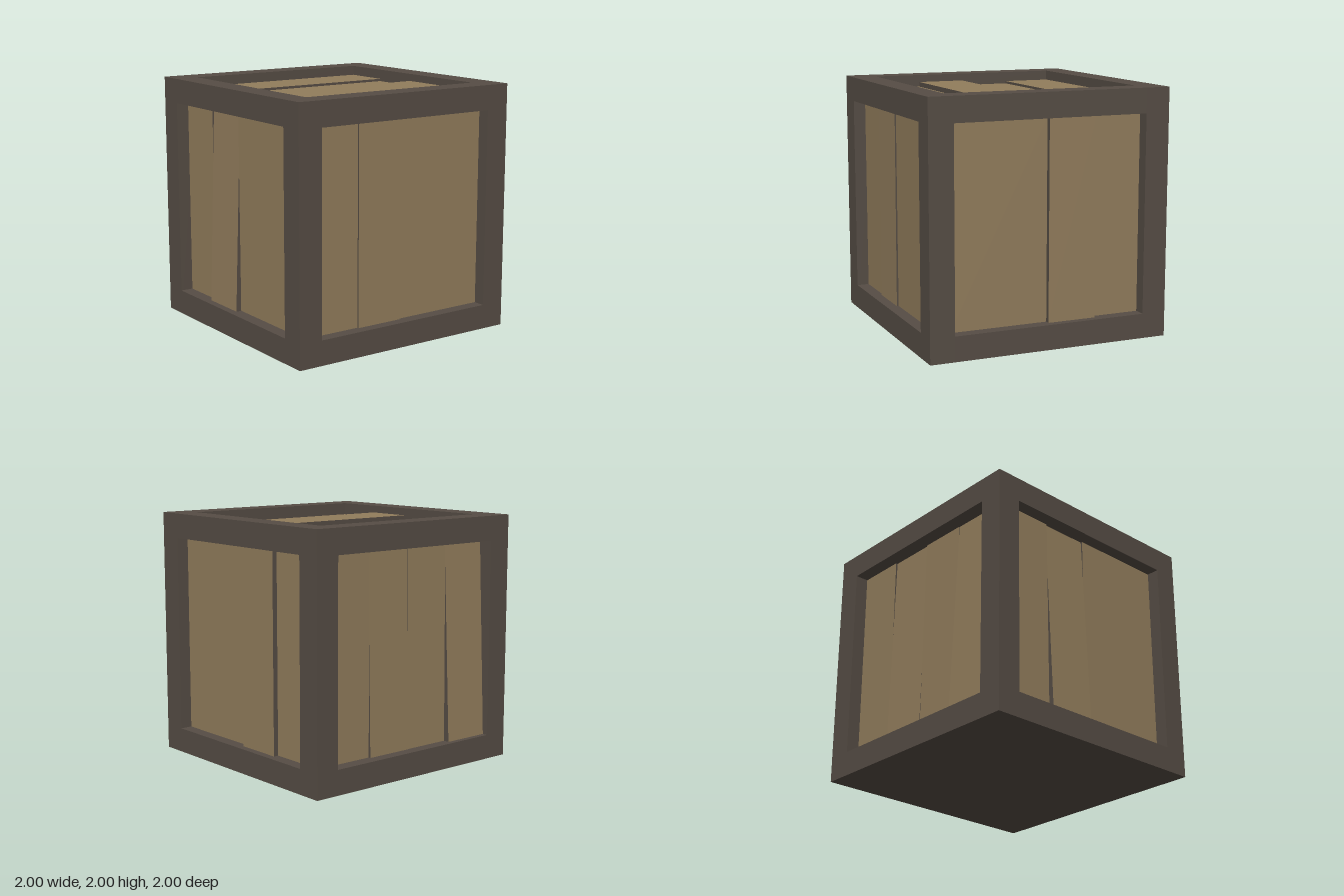
import * as THREE from 'three';

const frameMat = new THREE.MeshStandardMaterial({ color: 0x564d45 });
frameMat.name = 'darkFrame';
const woodMat = new THREE.MeshStandardMaterial({ color: 0x927d5c });
woodMat.name = 'plankWood';

const BEAM = 0.2, INNER = 1.6, BACK = 0.82;

function box(parent, name, size, pos) {
  const mesh = new THREE.Mesh(new THREE.BoxGeometry(...size), frameMat);
  mesh.name = name;
  mesh.position.set(...pos);
  parent.add(mesh);
}

// One plank from u0 to u1; its outer face leans from depth low to depth high
function plank([u0, u1, low, high]) {
  const geo = new THREE.BoxGeometry(u1 - u0, INNER, 1);
  const p = geo.attributes.position;
  for (let i = 0; i < p.count; i++) {
    const outer = p.getY(i) < 0 ? low : high;
    p.setZ(i, p.getZ(i) > 0 ? outer : BACK);
  }
  geo.translate((u0 + u1) / 2, 0, 0);
  geo.computeVertexNormals();
  // Only the outer face is light wood, the cut edges are dark
  const mats = [0, 1, 2, 3, 4, 5].map((i) => (i === 4 ? woodMat : frameMat));
  const mesh = new THREE.Mesh(geo, mats);
  mesh.name = 'plank';
  return mesh;
}

// Planks of each panel: [start, end, depth at lower end, depth at upper end]
const panels = [
  { name: 'frontPanel', rot: [0, 0, 0], planks: [
    [-0.8, -0.4, 0.895, 0.895], [-0.4, 0, 0.94, 0.88], [0, 0.8, 0.895, 0.895]] },
  { name: 'rightPanel', rot: [0, Math.PI / 2, 0], planks: [
    [-0.8, -0.4, 0.9, 0.9], [-0.4, 0, 0.915, 0.91], [0, 0.8, 0.9, 0.9]] },
  { name: 'backPanel', rot: [0, Math.PI, 0], planks: [
    [-0.8, 0, 0.9, 0.9], [0, 0.4, 0.94, 0.94], [0.4, 0.8, 0.9, 0.9]] },
  { name: 'leftPanel', rot: [0, -Math.PI / 2, 0], planks: [
    [-0.8, -0.4, 0.89, 0.89], [-0.4, 0, 0.91, 0.875],
    [0, 0.4, 0.905, 0.885], [0.4, 0.8, 0.955, 0.88]] },
  { name: 'topPanel', rot: [-Math.PI / 2, 0, 0], planks: [
    [-0.8, -0.4, 0.92, 0.92], [-0.4, 0, 0.9, 0.9],
    [0.015, 0.41, 0.94, 0.94], [0.41, 0.8, 0.9, 0.9]] },
];

export function createModel() {
  const crate = new THREE.Group();
  crate.name = 'crate';

  // Frame: corner posts, then rails between them at top and bottom
  const frame = new THREE.Group();
  frame.name = 'frame';
  for (const a of [-0.9, 0.9]) {
    for (const b of [-0.9, 0.9]) {
      box(frame, 'cornerPost', [BEAM, 2, BEAM], [a, 1, b]);
      box(frame, 'crossRail', [INNER, BEAM, BEAM], [0, 1 + a, b]);
      box(frame, 'sideRail', [BEAM, BEAM, INNER], [b, 1 + a, 0]);
    }
  }
  box(frame, 'floor', [INNER, BEAM, INNER], [0, 0.1, 0]);
  crate.add(frame);

  // Dark body behind the planks
  box(crate, 'core', [1.7, 1.7, 1.7], [0, 1, 0]);

  for (const { name, rot, planks } of panels) {
    const panel = new THREE.Group();
    panel.name = name;
    panel.position.y = 1;
    panel.rotation.set(...rot);
    for (const spec of planks) panel.add(plank(spec));
    crate.add(panel);
  }
  return crate;
}
